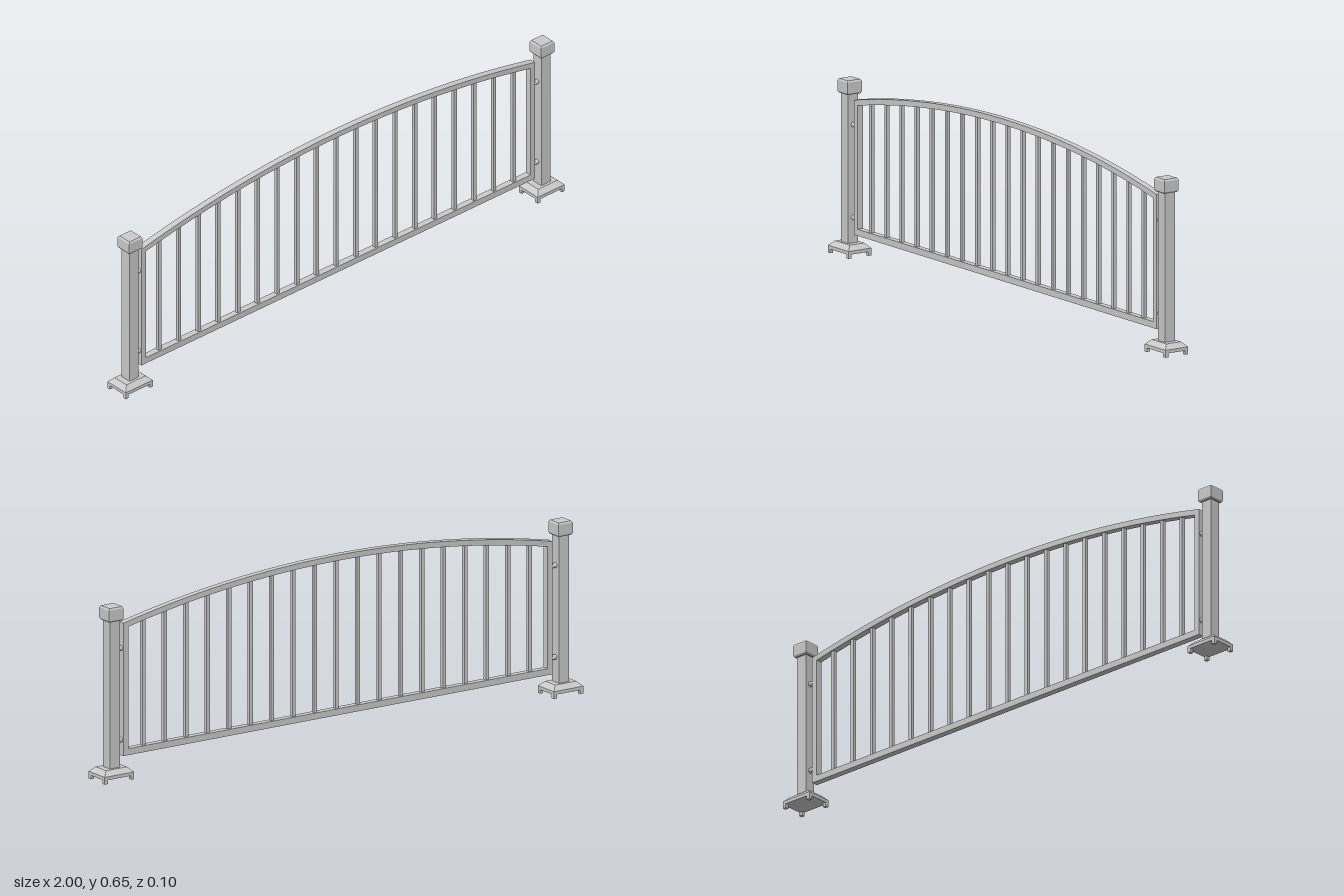
import * as THREE from 'three';

const material = new THREE.MeshStandardMaterial({ color: 0xcccccc, flatShading: true });

function add(parent, name, geometry, x = 0, y = 0, z = 0) {
  const mesh = new THREE.Mesh(geometry, material);
  mesh.name = name;
  mesh.position.set(x, y, z);
  parent.add(mesh);
  return mesh;
}

// Box from y0 to y1 whose top may differ in size from its bottom
function taperedBox(y0, y1, w0, d0, w1 = w0, d1 = d0) {
  const g = new THREE.BoxGeometry(1, y1 - y0, 1);
  g.translate(0, (y0 + y1) / 2, 0);
  const p = g.attributes.position;
  const mid = (y0 + y1) / 2;
  for (let i = 0; i < p.count; i++) {
    const top = p.getY(i) > mid;
    p.setX(i, p.getX(i) * (top ? w1 : w0));
    p.setZ(i, p.getZ(i) * (top ? d1 : d0));
  }
  g.computeVertexNormals();
  return g;
}

const HALF = 0.897;      // half width of the panel
const PEAK = 0.648;      // top of the arch
const RADIUS = 4.196;    // arch radius
const STILE = 0.021;
const RAIL = 0.02;
const DEPTH = 0.024;
const BOTTOM = 0.077;
const BOTTOM_TOP = 0.1;

const archY = (x, r = RADIUS) => PEAK - RADIUS + Math.sqrt(r * r - x * x);

function archPoints(half, r, steps = 24) {
  const points = [];
  for (let i = 0; i <= steps; i++) {
    const x = half - (2 * half * i) / steps;
    points.push(new THREE.Vector2(x, archY(x, r)));
  }
  return points;
}

function framePanel() {
  const inner = HALF - STILE;
  const shape = new THREE.Shape([
    new THREE.Vector2(-HALF, BOTTOM),
    new THREE.Vector2(HALF, BOTTOM),
    ...archPoints(HALF, RADIUS),
  ]);
  shape.holes.push(new THREE.Path([
    new THREE.Vector2(-inner, BOTTOM_TOP),
    new THREE.Vector2(inner, BOTTOM_TOP),
    ...archPoints(inner, RADIUS - RAIL),
  ]));
  const g = new THREE.ExtrudeGeometry(shape, { depth: DEPTH, bevelEnabled: false });
  return g.translate(0, 0, -DEPTH / 2);
}

function createPost(side) {
  const post = new THREE.Group();
  post.name = side > 0 ? 'leftPost' : 'rightPost';
  post.position.x = side * 0.9385;

  // Footed base plate with sloping top
  const w = 0.123, d = 0.096, foot = 0.013;
  for (const sx of [-1, 1]) {
    for (const sz of [-1, 1]) {
      add(post, 'foot', taperedBox(0, 0.014, foot, foot),
        sx * (w - foot) / 2, 0, sz * (d - foot) / 2);
    }
  }
  add(post, 'basePlate', taperedBox(0.014, 0.026, w, d));
  add(post, 'baseSlope', taperedBox(0.026, 0.043, w, d, 0.088, 0.062));

  // Column and chamfered cap
  add(post, 'column', taperedBox(0.043, 0.567, 0.042, 0.042));
  add(post, 'capLowerChamfer', taperedBox(0.567, 0.573, 0.052, 0.052, 0.06, 0.06));
  add(post, 'cap', taperedBox(0.573, 0.611, 0.06, 0.06));
  add(post, 'capUpperChamfer', taperedBox(0.611, 0.617, 0.06, 0.06, 0.052, 0.052));

  // Round pins joining the post to the panel
  for (const y of [0.133, 0.46]) {
    const pin = add(post, 'connectorPin',
      new THREE.CylinderGeometry(0.009, 0.009, 0.03, 12), -side * 0.031, y);
    pin.rotation.z = Math.PI / 2;
  }
  return post;
}

export function createModel() {
  const model = new THREE.Group();
  model.name = 'archedFence';

  add(model, 'archedFrame', framePanel());

  // Evenly spaced upright bars, running up into the arch
  for (let i = -9; i <= 9; i++) {
    const x = i * 0.0897;
    const top = archY(x) - RAIL / 2;
    add(model, 'baluster', taperedBox(BOTTOM_TOP - 0.01, top, 0.013, 0.013), x);
  }

  model.add(createPost(1), createPost(-1));
  return model;
}
